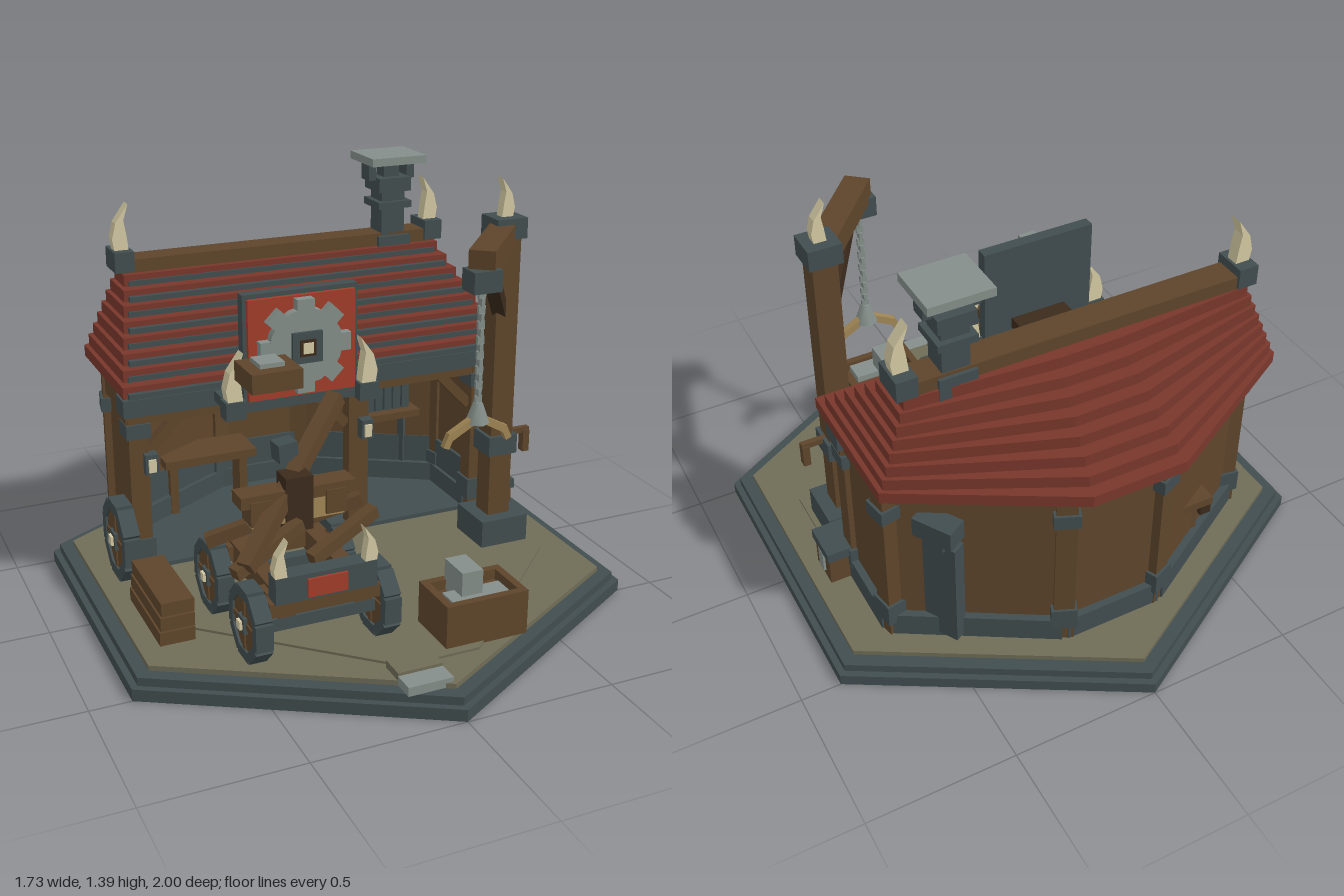
import * as THREE from 'three';

const mat = (name, color) => Object.assign(new THREE.MeshStandardMaterial({ color }), { name });
const wood = mat('wood', 0x5e452b), darkWood = mat('dark wood', 0x3b2b1c), slate = mat('slate', 0x414d4f),
  roofRed = mat('roof red', 0x78372b), red = mat('bright red', 0xa23d2b), steel = mat('steel', 0x848e89),
  bone = mat('bone', 0xd3c9a2), earth = mat('earth', 0x6f6c56), rope = mat('rope', 0xa08555);

function add(parent, name, geo, m, x = 0, y = 0, z = 0) {
  const mesh = new THREE.Mesh(geo, m);
  mesh.name = name;
  mesh.position.set(x, y, z);
  parent.add(mesh);
  return mesh;
}
// box given by its x, y and z ranges
const box = (p, name, m, x0, x1, y0, y1, z0, z1) =>
  add(p, name, new THREE.BoxGeometry(x1 - x0, y1 - y0, z1 - z0), m, (x0 + x1) / 2, (y0 + y1) / 2, (z0 + z1) / 2);
// square bar from a to b
function beam(p, name, m, a, b, w, h = w) {
  const A = new THREE.Vector3(...a), B = new THREE.Vector3(...b);
  const mesh = add(p, name, new THREE.BoxGeometry(w, h, A.distanceTo(B)), m);
  mesh.position.copy(A).add(B).multiplyScalar(0.5);
  mesh.lookAt(B);
  return mesh;
}
// upright prism over an [x, z] outline
function prism(p, name, m, pts, y0, y1) {
  const s = new THREE.Shape(pts.map(([x, z]) => new THREE.Vector2(x, -z)));
  const g = new THREE.ExtrudeGeometry(s, { depth: y1 - y0, bevelEnabled: false }).rotateX(-Math.PI / 2);
  return add(p, name, g, m, 0, y0, 0);
}
const hexagon = r => Array.from({ length: 6 }, (_, i) => [r * Math.sin(i * Math.PI / 3), r * Math.cos(i * Math.PI / 3)]);
function group(parent, name, x = 0, y = 0, z = 0) {
  const g = new THREE.Group();
  g.name = name;
  g.position.set(x, y, z);
  parent.add(g);
  return g;
}

// curved flat horn; side is the direction of its bulge
function horn(p, x, y, z, h, side) {
  const w = h * 0.2;
  const pts = [[0.8, 0], [1, 0.25], [0.55, 0.6], [-0.9, 1], [-0.35, 0.65], [-0.6, 0.35], [-0.8, 0]];
  const s = new THREE.Shape(pts.map(([a, b]) => new THREE.Vector2(side * a * w, b * h)));
  const d = Math.max(0.03, h * 0.28);
  add(p, 'horn', new THREE.ExtrudeGeometry(s, { depth: d, bevelEnabled: false }), bone, x, y, z - d / 2);
}

// wheel turning about the x axis
function wheel(p, x, y, z, r) {
  const g = group(p, 'wheel', x, y, z);
  add(g, 'wheelDisc', new THREE.CylinderGeometry(r * 0.78, r * 0.78, 0.04, 8).rotateZ(Math.PI / 2).rotateX(Math.PI / 8), wood);
  for (let i = 0; i < 8; i++) {
    const a = i * Math.PI / 4;
    const rim = add(g, 'rimBlock', new THREE.BoxGeometry(0.056, r * 0.28, r * 0.72), slate, 0, r * 0.86 * Math.cos(a), r * 0.86 * Math.sin(a));
    rim.rotation.x = a;
  }
  for (const a of [0, Math.PI / 2]) {
    const spoke = add(g, 'spoke', new THREE.BoxGeometry(0.05, r * 1.5, r * 0.16), wood);
    spoke.rotation.x = a;
  }
  box(g, 'hub', slate, -0.033, 0.033, -r * 0.22, r * 0.22, -r * 0.22, r * 0.22);
  box(g, 'hubCap', bone, -0.042, 0.042, -r * 0.12, r * 0.12, -r * 0.12, r * 0.12);
}

function buildBase(root) {
  const g = group(root, 'base');
  prism(g, 'lowerTier', slate, hexagon(1), 0, 0.04);
  prism(g, 'upperTier', slate, hexagon(0.975), 0.04, 0.068);
  prism(g, 'ground', earth, hexagon(0.925), 0.068, 0.085);
  prism(g, 'yard', earth, [[-0.62, 0.3], [-0.1, 0.78], [0.16, 0.78], [0.7, 0.26], [0.7, -0.1], [-0.62, -0.1]], 0.085, 0.093);
  box(g, 'slab', earth, -0.15, 0, 0.085, 0.11, 0.76, 0.84);
  box(g, 'step', steel, -0.15, 0, 0.07, 0.1, 0.84, 0.91);
}

function buildHouse(root) {
  const g = group(root, 'house');
  const plan = [[0.64, -0.14], [0.64, -0.42], [0.17, -0.7], [-0.17, -0.7], [-0.64, -0.42], [-0.64, -0.14]];
  prism(g, 'floor', slate, plan, 0.085, 0.1);
  // side and back walls, with the front left open
  for (let i = 0; i < 5; i++) {
    const [a, b] = [plan[i], plan[i + 1]];
    const at = (p, y) => [p[0], y, p[1]];
    beam(g, 'wall', wood, at(a, 0.43), at(b, 0.43), 0.03, 0.66);
    beam(g, 'plinth', slate, at(a, 0.125), at(b, 0.125), 0.08, 0.09);
    const k = 0.97, inner = p => [p[0] * k, 0.18, -0.42 + (p[1] + 0.42) * 0.94];
    beam(g, 'innerPlinth', slate, inner(a), inner(b), 0.016, 0.19);
    beam(g, 'wallPlate', wood, at(a, 0.69), at(b, 0.69), 0.06, 0.07);
  }
  for (const [x, z] of plan) {
    const p = group(g, 'cornerPost', x, 0, z);
    p.rotation.y = Math.abs(z + 0.14) < 0.01 ? 0 : Math.atan2(x, z + 0.3);
    box(p, 'post', wood, -0.033, 0.033, 0.085, 0.72, -0.033, 0.033);
    box(p, 'postCollar', slate, -0.042, 0.042, 0.585, 0.635, -0.042, 0.042);
    box(p, 'postFoot', slate, -0.042, 0.042, 0.14, 0.22, -0.042, 0.042);
  }
  // open front
  box(g, 'frontBeam', wood, -0.68, 0.68, 0.63, 0.67, -0.17, -0.11);
  box(g, 'frontBand', slate, -0.69, 0.69, 0.665, 0.725, -0.18, -0.09);
  box(g, 'innerPost', wood, 0.125, 0.2, 0.1, 0.64, -0.17, -0.12);
  for (const [x, d] of [[-0.61, 1], [0.12, -1], [0.61, -1]])
    beam(g, 'brace', wood, [x, 0.51, -0.145], [x + d * 0.13, 0.645, -0.145], 0.035);
  for (const x of [-0.605, 0.18]) {
    box(g, 'lampBox', slate, x - 0.022, x + 0.022, 0.46, 0.53, -0.12, -0.08);
    box(g, 'lampGlow', bone, x - 0.013, x + 0.013, 0.47, 0.515, -0.079, -0.072);
  }
  // tool rack and workbench
  box(g, 'rackShelf', wood, 0.31, 0.54, 0.385, 0.412, -0.5, -0.38);
  box(g, 'rackRail', wood, 0.31, 0.54, 0.53, 0.55, -0.48, -0.44);
  for (let i = 0; i < 5; i++) box(g, 'tool', slate, 0.335 + i * 0.037, 0.365 + i * 0.037, 0.412, 0.525, -0.46, -0.42);
  box(g, 'bench', wood, -0.45, -0.1, 0.3, 0.33, -0.62, -0.45);
  for (const x of [-0.42, -0.15]) box(g, 'benchLeg', wood, x, x + 0.03, 0.1, 0.3, -0.58, -0.5);
  // back door in the right rear wall
  const d = group(g, 'backDoor', 0.49, 0, -0.52);
  d.rotation.y = Math.PI - Math.atan2(0.47, 0.28) + 0.0;
  box(d, 'doorLeaf', slate, -0.06, 0.06, 0.1, 0.5, -0.01, 0.04);
  box(d, 'doorHood', slate, -0.07, 0.07, 0.54, 0.61, 0, 0.075);
  box(d, 'hoodBlock', slate, -0.03, 0.03, 0.5, 0.54, 0, 0.06);
  box(g, 'wallPeg', darkWood, -0.46, -0.42, 0.24, 0.275, -0.6, -0.54);
}

function buildRoof(root) {
  const g = group(root, 'roof');
  const n = 8, h = 0.315 / n;
  for (let i = 0; i < n; i++) {
    const t = i / (n - 1), mix = (a, b) => a + (b - a) * t, y = 0.75 + i * h;
    const w = mix(0.7, 0.59), f = mix(-0.045, -0.37), c = mix(-0.53, -0.49);
    prism(g, 'roofCourse', roofRed, [[-w, f], [w, f], [w, c], [mix(0.16, 0.1), mix(-0.835, -0.53)], [mix(-0.16, -0.1), mix(-0.835, -0.53)], [-w, c]], y, y + h);
    box(g, 'slateEdge', slate, -w + 0.015, w - 0.015, y + 0.002, y + 0.02, f - 0.02, f + (i % 2 ? 0.008 : 0.02));
  }
  box(g, 'ridgeBeam', wood, -0.59, 0.59, 1.05, 1.11, -0.49, -0.395);
  for (const s of [-1, 1]) {
    box(g, 'ridgeCap', slate, s * 0.58 - 0.034, s * 0.58 + 0.034, 1.07, 1.14, -0.5, -0.385);
    horn(g, s * 0.58, 1.14, -0.44, 0.155, s);
  }
  // chimney
  const c = group(g, 'chimney', 0.42, 0, -0.44);
  for (const [r, y0, y1] of [[0.062, 1.02, 1.1], [0.045, 1.1, 1.27], [0.064, 1.2, 1.225], [0.062, 1.26, 1.31], [0.03, 1.31, 1.365]])
    box(c, 'chimneyStack', slate, -r, r, y0, y1, -r, r);
  for (const x of [-0.075, 0.075]) box(c, 'capLeg', slate, x - 0.015, x + 0.015, 1.3, 1.365, -0.03, 0.03);
  box(c, 'chimneyCap', steel, -0.105, 0.105, 1.362, 1.39, -0.095, 0.095);
}

function buildSign(root) {
  const g = group(root, 'gearSign', -0.13, 0.9, 0);
  box(g, 'signBoard', slate, -0.2, 0.2, -0.2, 0.18, 0.02, 0.06);
  box(g, 'signPanel', red, -0.187, 0.187, -0.175, 0.165, 0.06, 0.075);
  box(g, 'signBracket', darkWood, -0.1, 0.1, -0.14, -0.1, -0.15, 0.02);
  const gear = group(g, 'gear', 0, 0, 0.09);
  add(gear, 'gearDisc', new THREE.CylinderGeometry(0.128, 0.128, 0.035, 16).rotateX(Math.PI / 2), steel);
  for (let i = 0; i < 8; i++) {
    const a = i * Math.PI / 4;
    add(gear, 'gearTooth', new THREE.BoxGeometry(0.06, 0.06, 0.033), steel, Math.sin(a) * 0.128, Math.cos(a) * 0.128, 0).rotation.z = -a;
  }
  box(gear, 'gearHub', slate, -0.052, 0.052, -0.052, 0.052, 0, 0.03);
  box(gear, 'hubPlate', darkWood, -0.028, 0.028, -0.028, 0.028, 0.02, 0.034);
  box(gear, 'hubPin', bone, -0.018, 0.018, -0.018, 0.018, 0.02, 0.038);
  for (const s of [-1, 1]) {
    box(root, 'hornBlock', slate, -0.135 + s * 0.235 - 0.035, -0.135 + s * 0.235 + 0.035, 0.68, 0.74, 0.04, 0.1);
    horn(root, -0.135 + s * 0.235, 0.74, 0.07, 0.16, s);
  }
  box(root, 'hornRail', slate, -0.38, 0.1, 0.685, 0.72, -0.1, 0.06);
}

function buildCrane(root) {
  const g = group(root, 'crane');
  const x = 0.59, z = 0.1, tip = [0.34, 0.4];
  box(g, 'craneFoot', slate, x - 0.09, x + 0.09, 0.085, 0.19, z - 0.09, z + 0.09);
  box(g, 'cranePost', wood, x - 0.042, x + 0.042, 0.19, 1.2, z - 0.042, z + 0.042);
  box(g, 'postCollar', slate, x - 0.055, x + 0.055, 0.42, 0.49, z - 0.055, z + 0.055);
  box(g, 'postCap', slate, x - 0.056, x + 0.056, 1.19, 1.26, z - 0.056, z + 0.056);
  horn(g, x, 1.26, z, 0.13, 1);
  beam(g, 'craneArm', wood, [x, 1.2, z], [0.33, 1.2, 0.41], 0.085, 0.08);
  beam(g, 'craneBrace', darkWood, [x, 0.92, z], [0.4, 1.17, 0.33], 0.045);
  box(g, 'armTip', slate, 0.29, 0.39, 1.11, 1.18, 0.36, 0.44);
  for (let i = 0; i < 15; i++) {
    const a = i % 2 ? 0.006 : 0.012, b = 0.018 - a;
    box(g, 'chainLink', steel, tip[0] - a, tip[0] + a, 0.735 + i * 0.025, 0.762 + i * 0.025, tip[1] - b, tip[1] + b);
  }
  add(g, 'hookHead', new THREE.CylinderGeometry(0.015, 0.04, 0.07, 6), steel, tip[0], 0.705, tip[1]);
  for (const s of [-1, 1]) {
    beam(g, 'claw', rope, [tip[0], 0.69, 0.4], [tip[0] + s * 0.1, 0.635, 0.4], 0.025);
    beam(g, 'clawTip', rope, [tip[0] + s * 0.095, 0.645, 0.4], [tip[0] + s * 0.115, 0.6, 0.4], 0.022);
  }
  // lamp on the post
  box(g, 'lampArm', wood, 0.63, 0.72, 0.47, 0.49, 0.09, 0.11);
  box(g, 'lamp', wood, 0.695, 0.72, 0.4, 0.48, 0.085, 0.115);
}

function buildCatapult(root) {
  const g = group(root, 'catapult', -0.29, 0, 0);
  for (const z of [0.21, 0.545]) {
    for (const s of [-1, 1]) wheel(g, s * 0.21, 0.21, z, 0.118);
    box(g, 'axle', slate, -0.19, 0.19, 0.19, 0.225, z - 0.02, z + 0.02);
    box(g, 'crossBeam', wood, -0.17, 0.17, 0.26, 0.31, z - 0.03, z + 0.03);
  }
  for (const s of [-1, 1]) {
    box(g, 'chassisRail', wood, s * 0.125 - 0.028, s * 0.125 + 0.028, 0.25, 0.32, 0.11, 0.63);
    for (const z of [0.21, 0.56]) beam(g, 'frameLeg', wood, [s * 0.125, 0.3, z], [s * 0.125, 0.51, 0.39], 0.04);
    box(g, 'frameHead', wood, s * 0.125 - 0.035, s * 0.125 + 0.035, 0.46, 0.54, 0.35, 0.43);
    horn(g, s * 0.145, 0.38, 0.62, 0.12, s);
  }
  box(g, 'topBeam', wood, -0.19, 0.19, 0.52, 0.56, 0.345, 0.425);
  box(g, 'ropeCoil', rope, -0.155, 0.155, 0.45, 0.52, 0.36, 0.42);
  box(g, 'pivot', darkWood, -0.045, 0.045, 0.42, 0.6, 0.35, 0.43);
  beam(g, 'throwingArm', wood, [0, 0.32, 0.58], [0, 0.82, 0.16], 0.05);
  beam(g, 'armBand', slate, [0, 0.62, 0.328], [0, 0.67, 0.286], 0.062);
  box(g, 'bucket', wood, -0.085, 0.085, 0.82, 0.885, 0.1, 0.26);
  box(g, 'shot', steel, -0.042, 0.042, 0.87, 0.9, 0.13, 0.215);
  // front shield
  box(g, 'shield', slate, -0.165, 0.165, 0.3, 0.385, 0.58, 0.64);
  box(g, 'shieldPlate', red, -0.065, 0.065, 0.31, 0.37, 0.64, 0.648);
  box(g, 'bumper', wood, -0.18, 0.18, 0.255, 0.3, 0.57, 0.63);
  box(g, 'lowerBar', slate, -0.17, 0.17, 0.2, 0.24, 0.585, 0.615);
}

function buildProps(root) {
  const g = group(root, 'yardProps');
  // stone crate
  box(g, 'crateFloor', wood, 0.06, 0.345, 0.085, 0.2, 0.56, 0.75);
  for (const z of [0.56, 0.725]) box(g, 'crateSide', wood, 0.06, 0.345, 0.19, 0.235, z, z + 0.025);
  for (const x of [0.06, 0.32]) box(g, 'crateEnd', wood, x, x + 0.025, 0.19, 0.235, 0.585, 0.725);
  box(g, 'stoneRow', steel, 0.1, 0.3, 0.19, 0.225, 0.64, 0.72);
  box(g, 'stone', steel, 0.142, 0.215, 0.2, 0.305, 0.575, 0.69);
  // plank stack and leaning wheel
  for (let i = 0; i < 3; i++) box(g, 'plank', wood, -0.735 + i * 0.004, -0.62, 0.085 + i * 0.05, 0.13 + i * 0.05, 0.04 + i * 0.005, 0.37);
  wheel(g, -0.712, 0.235, -0.115, 0.135);
  // chest by the right wall
  box(g, 'chest', wood, 0.66, 0.75, 0.085, 0.19, -0.16, -0.04);
  box(g, 'chestLid', slate, 0.65, 0.757, 0.19, 0.225, -0.17, -0.03);
  box(g, 'chestLock', steel, 0.75, 0.758, 0.11, 0.19, -0.12, -0.08);
}

export function createModel() {
  const root = new THREE.Group();
  root.name = 'workshop';
  for (const build of [buildBase, buildHouse, buildRoof, buildSign, buildCrane, buildCatapult, buildProps]) build(root);
  return root;
}
